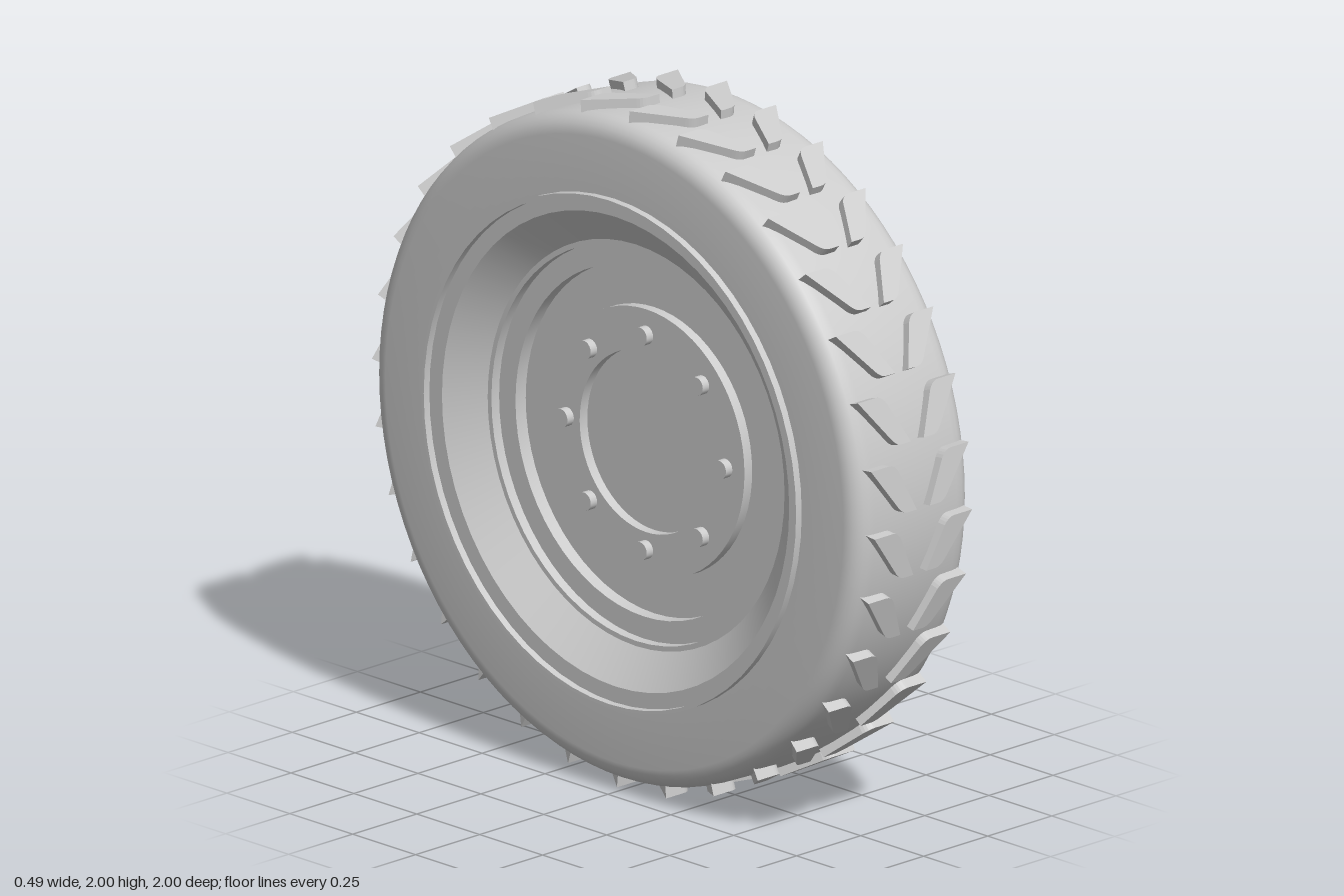
import * as THREE from 'three';
import { toCreasedNormals } from 'three/addons/utils/BufferGeometryUtils.js';

const grey = new THREE.MeshStandardMaterial({ color: 0xcccccc });

function addMesh(parent, geometry, name) {
  const mesh = new THREE.Mesh(geometry, grey);
  mesh.name = name;
  parent.add(mesh);
  return mesh;
}

// Turned part around the x axis; profile entries are [radius, x].
function turned(profile, segments) {
  const points = profile.map(([r, x]) => new THREE.Vector2(r, x));
  const geometry = new THREE.LatheGeometry(points, segments);
  geometry.rotateZ(-Math.PI / 2);
  return toCreasedNormals(geometry, 0.55);
}

// Leaf-shaped tread lug, wide in the middle and pointed at the outer end.
function lugGeometry(side) {
  const s = new THREE.Shape();
  s.moveTo(side * 0.19, 0.073);
  s.lineTo(side * 0.12, 0.073);
  s.quadraticCurveTo(side * 0.1, 0.073, side * 0.085, 0.05);
  s.lineTo(side * 0.025, -0.073);
  s.lineTo(side * 0.06, -0.073);
  s.quadraticCurveTo(side * 0.08, -0.073, side * 0.095, -0.053);
  s.closePath();
  const geometry = new THREE.ExtrudeGeometry(s, { depth: 0.06, bevelEnabled: false, curveSegments: 5 });
  geometry.translate(0, 0, 0.937);
  return geometry;
}

export function createModel() {
  const model = new THREE.Group();
  model.name = 'wheel';
  const wheel = new THREE.Group();
  wheel.name = 'wheelAssembly';
  wheel.position.y = 1;
  model.add(wheel);

  // Tyre: flat sidewalls, rounded shoulders, slightly crowned tread
  const half = [[0.975, 0], [0.97, 0.16]];
  for (let i = 1; i <= 6; i++) {
    const a = (i / 6) * Math.PI / 2;
    half.push([0.91 + 0.06 * Math.cos(a), 0.165 + 0.06 * Math.sin(a)]);
  }
  half.push([0.72, 0.225]);
  const mirrored = half.slice(1).reverse().map(([r, x]) => [r, -x]);
  addMesh(wheel, turned([...mirrored, ...half], 96), 'tyre');

  // Tread lugs: mirrored pairs forming chevrons
  const tread = new THREE.Group();
  tread.name = 'tread';
  wheel.add(tread);
  const lugs = [lugGeometry(1), lugGeometry(-1)];
  const count = 32;
  for (let i = 0; i < count; i++) {
    lugs.forEach((geometry, k) => {
      const lug = addMesh(tread, geometry, k === 0 ? 'leftLug' : 'rightLug');
      lug.rotation.x = ((i + 0.5) / count) * Math.PI * 2;
    });
  }

  // Rim face: lip, sloped dish, steps, raised hub ring and recessed centre
  const rimGeometry = turned([
    [0.745, 0.2], [0.745, 0.247], [0.735, 0.247], [0.735, 0.22], [0.69, 0.22],
    [0.59, 0.14], [0.575, 0.14], [0.575, 0.11], [0.51, 0.11], [0.51, 0.07],
    [0.39, 0.07], [0.39, 0.1], [0.265, 0.1], [0.265, 0.07], [0, 0.07],
  ], 64);
  const boltGeometry = new THREE.CylinderGeometry(0.027, 0.027, 0.05, 20);
  boltGeometry.rotateZ(-Math.PI / 2);

  for (const side of [1, -1]) {
    const face = new THREE.Group();
    face.name = side > 0 ? 'leftRim' : 'rightRim';
    face.rotation.y = side > 0 ? 0 : Math.PI;
    wheel.add(face);
    addMesh(face, rimGeometry, 'rimDish');
    // Eight wheel bolts
    for (let i = 0; i < 8; i++) {
      const a = (i / 8) * Math.PI * 2;
      addMesh(face, boltGeometry, 'bolt').position.set(0.1, 0.315 * Math.cos(a), 0.315 * Math.sin(a));
    }
  }
  return model;
}
